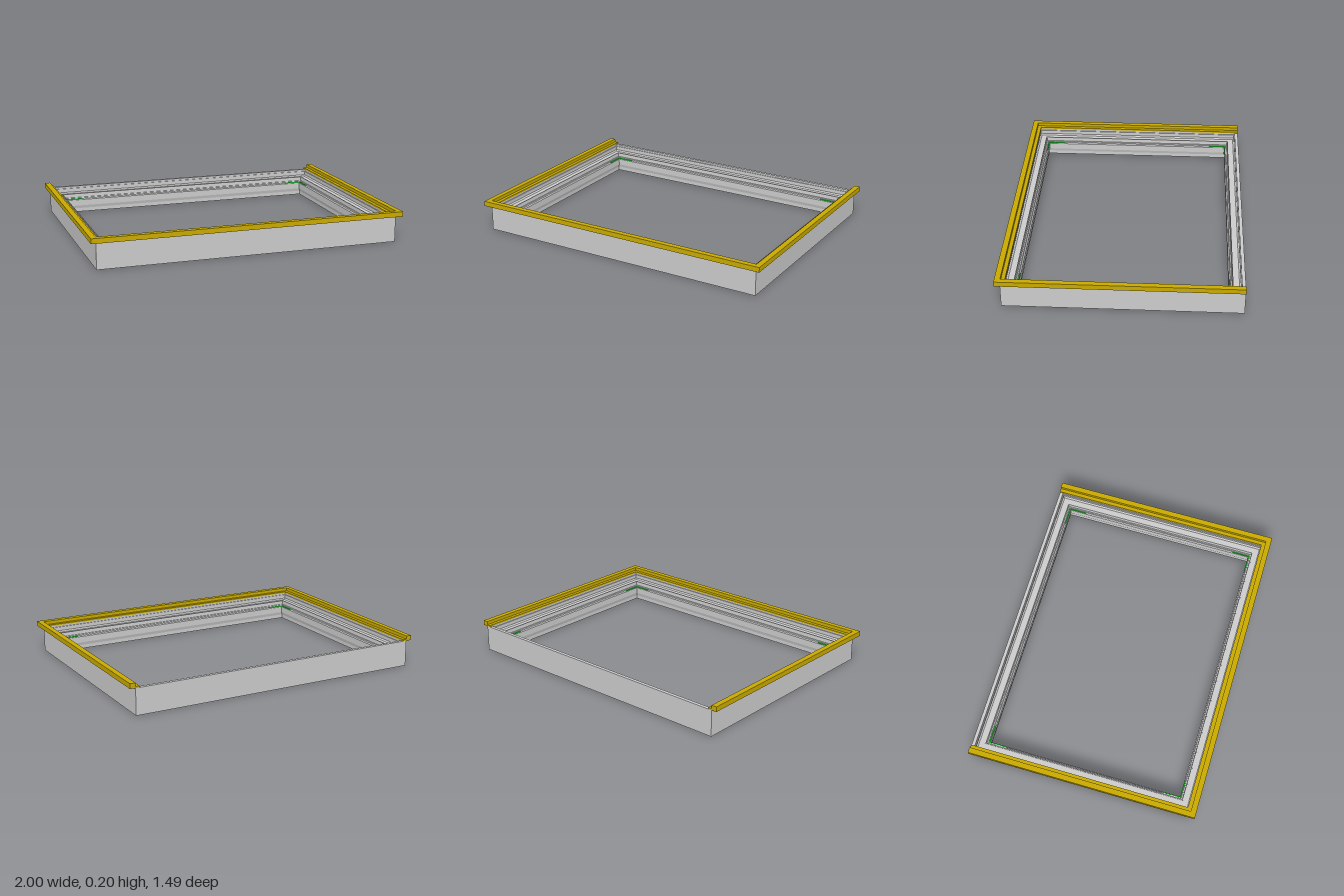
import * as THREE from 'three';

// Sweeps a profile of [inset, height] points round mitred corners.
// Each corner maps an inset to [x, z].
function sweep(profile, corners, closed) {
  const pos = [];
  const at = (c, p) => {
    const [x, z] = c(p[0]);
    return [x, p[1], z];
  };
  const runs = closed ? corners.length : corners.length - 1;
  for (let i = 0; i < runs; i++) {
    const c0 = corners[i], c1 = corners[(i + 1) % corners.length];
    profile.forEach((p, j) => {
      const q = profile[(j + 1) % profile.length];
      const a = at(c0, p), b = at(c0, q), c = at(c1, p), d = at(c1, q);
      pos.push(...a, ...b, ...c, ...b, ...d, ...c);
    });
  }
  if (!closed) {
    // end caps
    const contour = profile.map(p => new THREE.Vector2(p[0], p[1]));
    const tris = THREE.ShapeUtils.triangulateShape(contour, []);
    for (const c of [corners[0], corners[corners.length - 1]]) {
      for (const t of tris) for (const k of t) pos.push(...at(c, profile[k]));
    }
  }
  const g = new THREE.BufferGeometry();
  g.setAttribute('position', new THREE.Float32BufferAttribute(pos, 3));
  g.computeVertexNormals();
  return g;
}

export function createModel() {
  const model = new THREE.Group();
  const grey = new THREE.MeshStandardMaterial({ color: 0xcccccc });
  const gold = new THREE.MeshStandardMaterial({ color: 0xc8aa00, side: THREE.DoubleSide });
  const green = new THREE.MeshStandardMaterial({ color: 0x22cc33 });
  const add = (name, geometry, material, parent = model) => {
    const m = new THREE.Mesh(geometry, material);
    m.name = name;
    parent.add(m);
    return m;
  };

  // Frame: stepped section with a rebate, ribs and a bevelled inner lip
  const W = 0.965, back = -0.746, front = 0.716;
  const section = [
    [0, 0], [0, 0.168], [0.022, 0.168], [0.022, 0.155], [0.028, 0.155],
    [0.028, 0.142], [0.024, 0.142], [0.024, 0.128], [0.034, 0.12],
    [0.07, 0.12], [0.07, 0.126], [0.076, 0.126], [0.078, 0.1],
    [0.086, 0.1], [0.088, 0.092], [0.096, 0.086], [0.096, 0.045],
    [0.09, 0.025], [0.09, 0], [0.072, 0], [0.072, 0.007], [0.064, 0.007], [0.064, 0],
  ];
  add('frame', sweep(section, [
    d => [W - d, back + d],
    d => [W - d, front - d],
    d => [-W + d, front - d],
    d => [-W + d, back + d],
  ], true), grey);

  // Stepped trim along the two sides and the front
  const trim = [
    [0, 0.168], [0, 0.2], [0.035, 0.2], [0.035, 0.178], [0.059, 0.178], [0.059, 0.168],
  ];
  add('trim', sweep(trim, [
    d => [1 - d, back],
    d => [1 - d, 0.746 - d],
    d => [-1 + d, 0.746 - d],
    d => [-1 + d, back],
  ], false), gold);

  // Small angle brackets on the lip in each corner
  const inset = 0.091, len = 0.115, t = 0.007;
  for (const sx of [1, -1]) {
    for (const sz of [1, -1]) {
      const bracket = new THREE.Group();
      bracket.name = 'cornerBracket';
      const x = sx * (W - inset);
      const z = sz > 0 ? front - inset : back + inset;
      add('bracketLongArm', new THREE.BoxGeometry(len, 0.012, t), green, bracket)
        .position.set(x - sx * len / 2, 0.089, z);
      add('bracketShortArm', new THREE.BoxGeometry(t, 0.012, len), green, bracket)
        .position.set(x, 0.089, z - sz * len / 2);
      model.add(bracket);
    }
  }
  return model;
}
